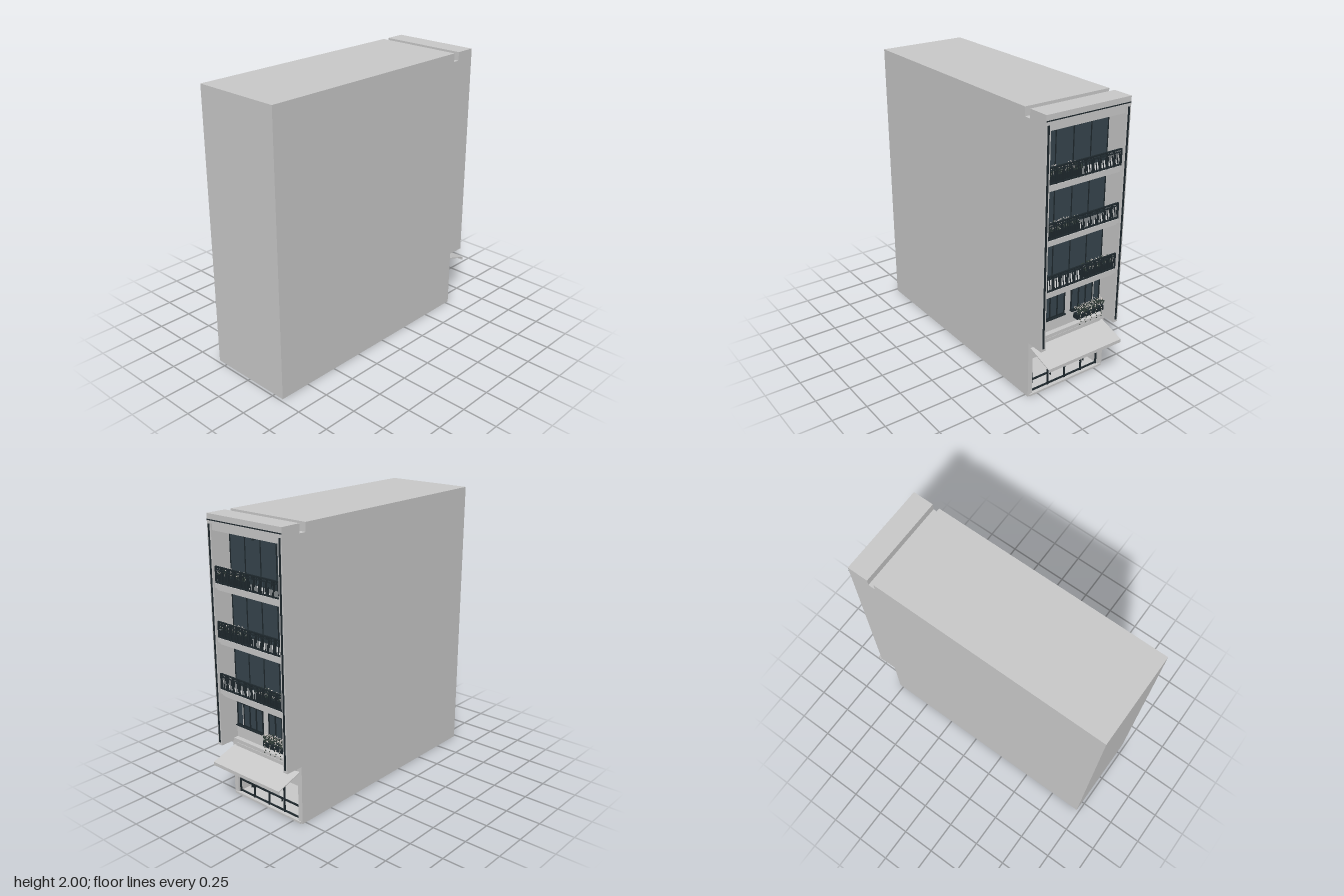
import * as THREE from 'three';
import { mergeGeometries } from 'three/addons/utils/BufferGeometryUtils.js';

const mat = (name, color) => {
  const m = new THREE.MeshStandardMaterial({ color });
  m.name = name;
  return m;
};

export function createModel() {
  const wall = mat('wall grey', 0xc8c8c8);
  const glass = mat('dark glass', 0x36444c);
  const frame = mat('dark frame', 0x1e282d);
  const leaf = mat('foliage', 0x2f3b36);
  const flower = mat('flower', 0xd2c9c4);

  const root = new THREE.Group();
  root.name = 'townhouse';

  let seed = 7;
  const rnd = () => (seed = (seed * 16807) % 2147483647) / 2147483647;

  const add = (name, geo, material, parent = root) => {
    const m = new THREE.Mesh(geo, material);
    m.name = name;
    parent.add(m);
    return m;
  };
  // Box geometry given by its limits
  const slab = (x0, x1, y0, y1, z0, z1) =>
    new THREE.BoxGeometry(x1 - x0, y1 - y0, z1 - z0)
      .translate((x0 + x1) / 2, (y0 + y1) / 2, (z0 + z1) / 2);
  // Profile in x and y, extruded from z0 to z1
  const extrude = (pts, z0, z1) =>
    new THREE.ExtrudeGeometry(new THREE.Shape(pts.map(p => new THREE.Vector2(...p))),
      { depth: z1 - z0, bevelEnabled: false }).translate(0, 0, z0);

  // Side walls with the roof notch and the upper overhang
  const W = 0.327, I = 0.292;
  const side = [[-0.98, 0], [0.78, 0], [0.78, 0.42], [0.91, 0.42], [0.91, 2], [0.76, 2],
    [0.76, 1.94], [0.71, 1.94], [0.71, 2], [-0.98, 2]];
  add('sideWallLeft', extrude(side, I, W), wall);
  add('sideWallRight', extrude(side, -W, -I), wall);

  // Core between the side walls, with the open shop at ground level
  add('core', extrude([[-0.98, 0], [0.78, 0], [0.78, 0.015], [0.45, 0.015], [0.45, 0.29],
    [0.78, 0.29], [0.78, 0.42], [0.765, 0.42], [0.765, 1.94], [0.71, 1.94], [0.71, 2],
    [-0.98, 2]], -I, I), wall);
  add('roofOverhang', slab(0.76, 0.91, 1.94, 2, -I, I), wall);
  add('roofBeam', slab(0.87, 0.9, 1.895, 1.94, -I, I), wall);
  add('roofGroove', slab(0.908, 0.912, 1.957, 1.964, -W, W), frame);
  add('doorstep', slab(0.77, 0.787, 0, 0.015, -0.315, 0.315), wall);
  add('shopLedge', slab(0.76, 0.8, 0.415, 0.44, -I, I), wall);
  add('shutterBox', slab(0.77, 0.79, 0.38, 0.405, -0.285, 0.285), wall);
  for (const s of [-1, 1]) {
    add('facadeStrip', slab(0.906, 0.913, 0.44, 1.935, s * 0.31 - 0.007, s * 0.31 + 0.007), frame);
  }

  // Frame made of upright and level bars in the plane x
  const grid = (x, y0, y1, zs, ys, t) => mergeGeometries([
    ...zs.map(z => slab(x - t, x + t, y0, y1, z - t, z + t)),
    ...ys.map(y => slab(x - t, x + t, y - t, y + t, Math.min(...zs) - t, Math.max(...zs) + t)),
  ]);

  // Shop doors
  add('shopDoorFrame', grid(0.762, 0.015, 0.29, [-0.285, -0.145, 0, 0.145, 0.285],
    [0.025, 0.11, 0.285], 0.005), frame);
  for (const c of [-0.145, 0.145]) for (const s of [-1, 1]) {
    add('doorHandle', slab(0.766, 0.778, 0.095, 0.125, c + s * 0.012 - 0.002, c + s * 0.012 + 0.002), frame);
  }

  // Sloping canopy with a front lip
  add('canopy', extrude([[0.775, 0.372], [0.968, 0.311], [0.968, 0.292], [0.974, 0.292],
    [0.974, 0.316], [0.775, 0.379]], -0.31, 0.31), wall);

  // Trough full of leaves and flowers, with optional trailing stems
  const planter = (name, x, y, z0, z1, boxH, plantH, trail) => {
    const g = new THREE.Group();
    g.name = name;
    root.add(g);
    add('trough', slab(x - 0.022, x + 0.022, y - boxH, y, z0, z1), frame, g);
    const leaves = [], blooms = [];
    const speck = (list, r, px, py, pz) => list.push(new THREE.OctahedronGeometry(r)
      .rotateX(rnd() * 3).rotateY(rnd() * 3).translate(px, py, pz));
    const n = Math.round((z1 - z0) * 650);
    for (let i = 0; i < n; i++) {
      const px = () => x + (rnd() - 0.5) * 0.05;
      const pz = () => z0 + rnd() * (z1 - z0);
      speck(leaves, 0.008, px(), y + rnd() * plantH * 0.8, pz());
      speck(blooms, 0.0045, px(), y + (0.1 + rnd() * 0.9) * plantH, pz());
    }
    for (let k = 0; k < trail; k++) {
      const pz = z0 + (k + 0.5) / trail * (z1 - z0);
      for (let j = 0; j < 9; j++) {
        speck(j % 2 ? blooms : leaves, 0.005, x + 0.026, y - j * 0.009, pz + (rnd() - 0.5) * 0.015);
      }
    }
    add('leaves', mergeGeometries(leaves), leaf, g);
    add('flowers', mergeGeometries(blooms), flower, g);
  };

  // First floor windows
  for (const s of [-1, 1]) {
    const a = 0.03, b = 0.272;
    const zs = [0, 1, 2, 3, 4].map(i => s * (a + (b - a) * i / 4));
    add('windowGlass', slab(0.764, 0.77, 0.54, 0.75, Math.min(s * a, s * b), Math.max(s * a, s * b)), glass);
    add('windowFrame', grid(0.772, 0.54, 0.75, zs, [0.545, 0.705, 0.746], 0.004), frame);
    add('windowGap', slab(0.77, 0.778, 0.55, 0.7, s * 0.216 - 0.003, s * 0.216 + 0.003), wall);
    add('windowSill', slab(0.765, 0.79, 0.535, 0.542, s * 0.151 - 0.125, s * 0.151 + 0.125), frame);
  }
  planter('windowPlanter', 0.815, 0.53, -0.265, -0.035, 0.035, 0.055, 5);

  // Balcony floors: floor level, glass top, planter side
  const floors = [[0.83, 1.14, -1], [1.19, 1.5, 1], [1.555, 1.865, 1]];
  floors.forEach(([y, top, s]) => {
    add('balconySlab', slab(0.76, 0.9, y - 0.03, y, -I, I), wall);
    add('balconyEdgeBeam', slab(0.76, 0.88, y - 0.05, y - 0.03, -I, I), wall);
    add('balconyGlass', slab(0.764, 0.771, y, top, -0.28, 0.28), glass);
    add('balconyDoorFrame', grid(0.771, y, top, [-0.277, -0.14, 0, 0.14, 0.277],
      [top - 0.004], 0.0035), frame);
    add('ceilingLamp', new THREE.CylinderGeometry(0.008, 0.008, 0.012, 12)
      .translate(0.83, top + 0.004, 0), frame);

    // Railing: rails, thin bars and stouter posts
    const rail = [];
    for (const [dy, t] of [[0.006, 0.004], [0.09, 0.002], [0.108, 0.004]]) {
      rail.push(slab(0.886, 0.898, y + dy - t, y + dy + t, -0.29, 0.29));
    }
    for (let i = 0; i <= 40; i++) {
      const z = -0.287 + i * 0.574 / 40, t = i % 4 ? 0.0018 : 0.0045;
      rail.push(slab(0.892 - t, 0.892 + t, y, y + 0.108, z - t, z + t));
    }
    add('railing', mergeGeometries(rail), frame);
    planter('balconyPlanter', 0.865, y + 0.05, s > 0 ? 0.025 : -0.275, s > 0 ? 0.275 : -0.035, 0.045, 0.05, 0);
  });
  add('ceilingLamp', new THREE.CylinderGeometry(0.008, 0.008, 0.01, 12).translate(0.83, 1.936, 0), frame);
  add('firstFloorCornice', slab(0.76, 0.86, 0.762, 0.782, -I, I), wall);

  return root;
}
